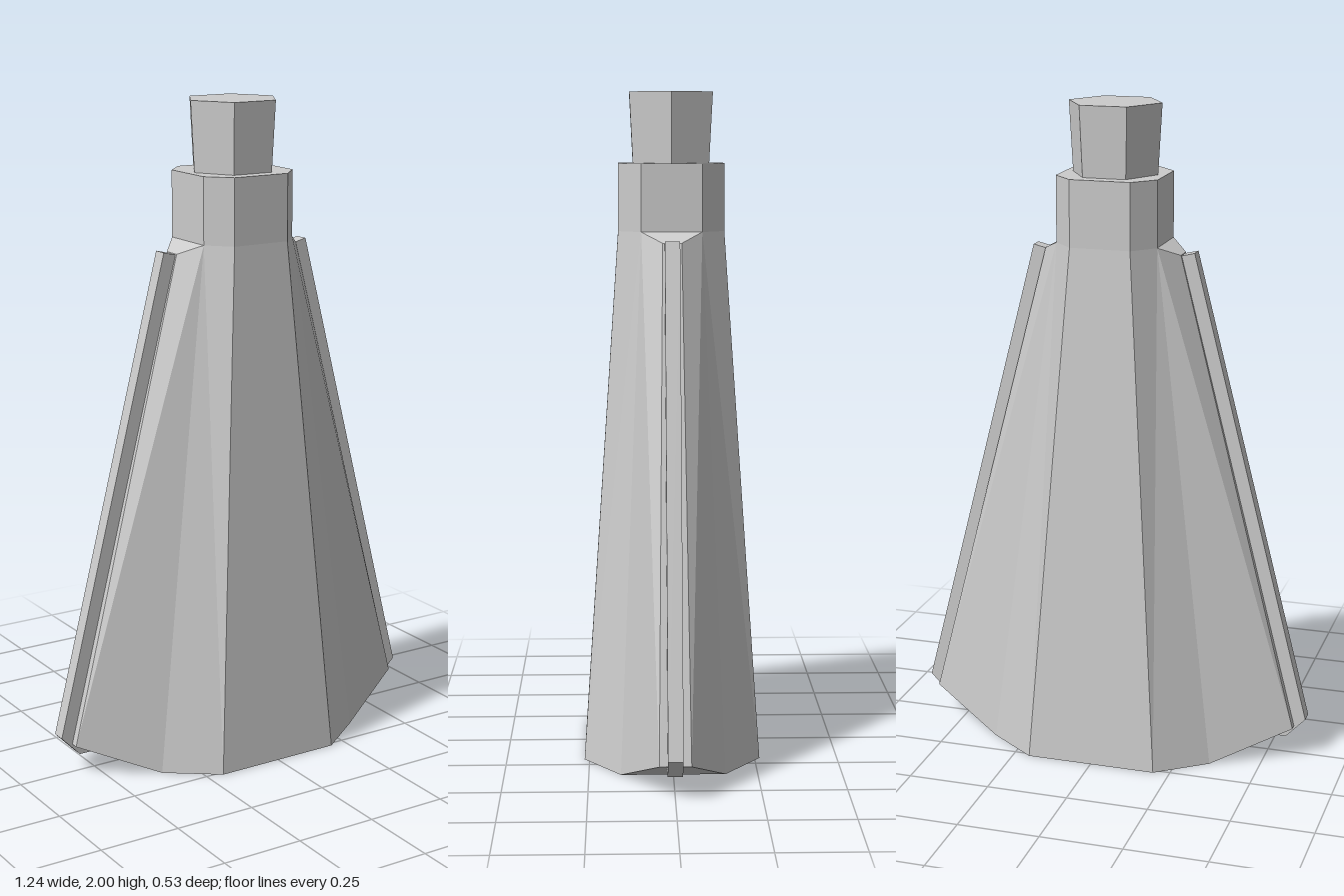
import * as THREE from 'three';

const material = new THREE.MeshStandardMaterial({ color: 0xcccccc, flatShading: true });

// Mirror quarter corners [x, y, z] into a full ring, running from +z round through +x
function mirrorRing(quarter) {
  const back = [...quarter].reverse().map(([x, y, z]) => [x, y, -z]);
  const half = [...quarter, ...back];
  return [...half, ...[...half].map(([x, y, z]) => [-x, y, -z])];
}

function meshFrom(name, triangles) {
  const geometry = new THREE.BufferGeometry();
  geometry.setAttribute('position', new THREE.Float32BufferAttribute(triangles.flat(2), 3));
  geometry.computeVertexNormals();
  const mesh = new THREE.Mesh(geometry, material);
  mesh.name = name;
  return mesh;
}

// Side triangles between two rings; every third quad is split the other way
function loft(low, high) {
  const out = [];
  low.forEach((a, i) => {
    const j = (i + 1) % low.length;
    const b = low[j], c = high[j], d = high[i];
    if (i % 3 === 1) out.push([a, b, d], [b, c, d]);
    else out.push([a, b, c], [a, c, d]);
  });
  return out;
}

// Flat face as a triangle fan
function fan(points, up) {
  const out = [];
  for (let i = 1; i < points.length - 1; i++) {
    out.push(up ? [points[0], points[i], points[i + 1]] : [points[0], points[i + 1], points[i]]);
  }
  return out;
}

export function createModel() {
  const group = new THREE.Group();

  // Flared twelve-sided body with raised points at both ends
  const low = mirrorRing([[0.2, 0, 0.265], [0.35, 0, 0.155], [0.585, 0.1, 0.046]]);
  const high = mirrorRing([[0.092, 1.59, 0.158], [0.155, 1.59, 0.09], [0.21, 1.56, 0.028]]);
  const octagon = ring => ring.filter((p, i) => i % 6 !== 2 && i % 6 !== 3);
  const body = [...loft(low, high), ...fan(octagon(low), false), ...fan(octagon(high), true)];
  for (const s of [1, 7]) {
    body.push(...fan(low.slice(s, s + 4), false), ...fan(high.slice(s, s + 4), true));
  }
  group.add(meshFrom('body', body));

  // Straight octagonal collar
  const collarLow = octagon(high);
  const collarHigh = collarLow.map(([x, y, z]) => [x, 1.79, z]);
  group.add(meshFrom('collar', [...loft(collarLow, collarHigh), ...fan(collarHigh, true)]));

  // Hexagonal cap, slightly wider at the top
  const cap = new THREE.Mesh(
    new THREE.CylinderGeometry(0.143, 0.131, 0.21, 6, 1, false, Math.PI / 6), material);
  cap.position.y = 1.895;
  cap.name = 'cap';
  group.add(cap);

  // Thin rib along each side edge, hooked under the body at the bottom
  const outline = [[0.2, 1.555], [0.25, 1.567], [0.62, 0.125], [0.56, 0.062], [0.49, 0.062]];
  for (const side of [1, -1]) {
    const shape = new THREE.Shape(outline.map(([x, y]) => new THREE.Vector2(side * x, y)));
    const geometry = new THREE.ExtrudeGeometry(shape, { depth: 0.044, bevelEnabled: false });
    geometry.translate(0, 0, -0.022);
    const rib = new THREE.Mesh(geometry, material);
    rib.name = side > 0 ? 'leftRib' : 'rightRib';
    group.add(rib);
  }

  return group;
}
